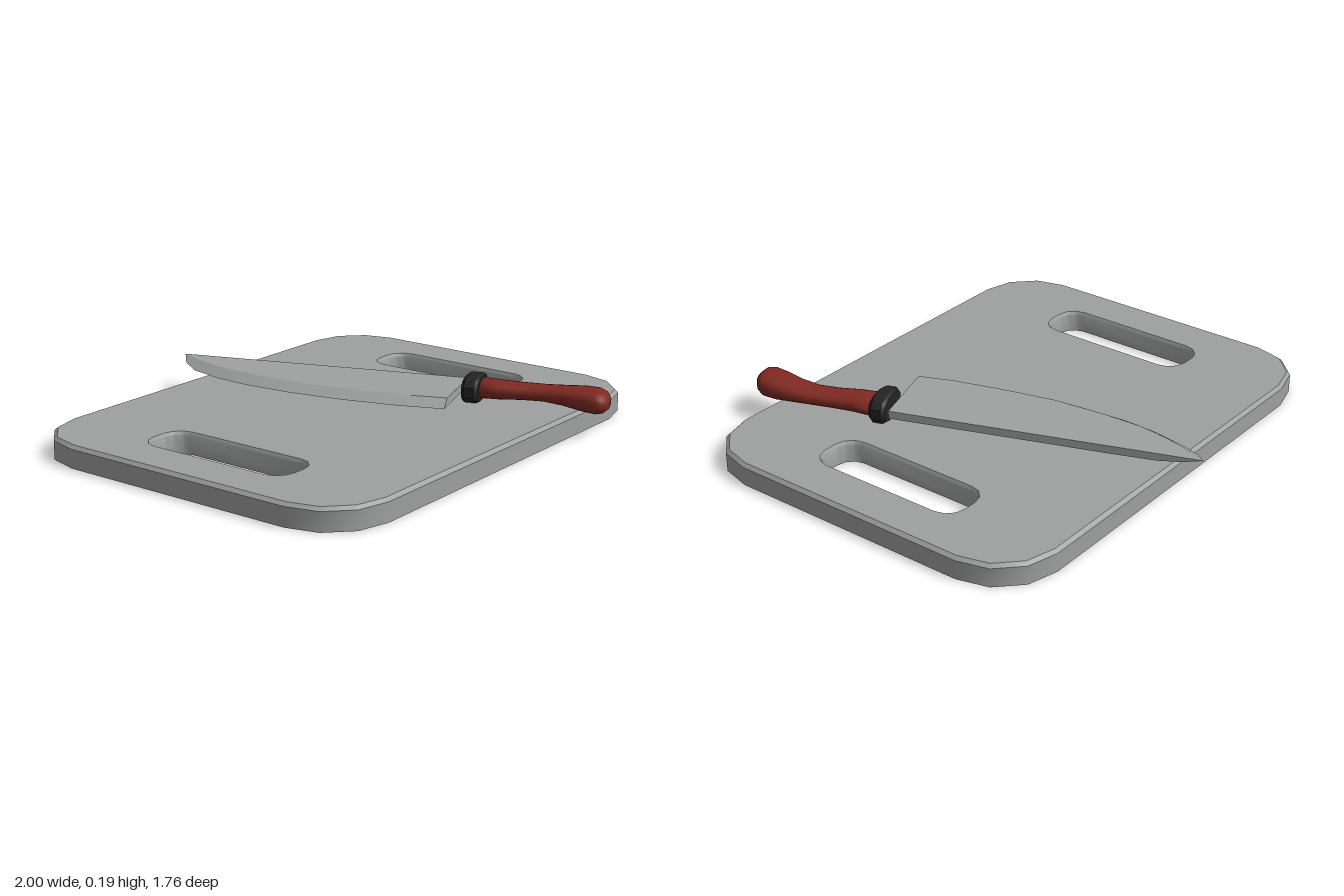
import * as THREE from 'three';
import { toCreasedNormals } from 'three/addons/utils/BufferGeometryUtils.js';

// Skin closed rings of [x, y, z] points, with optional end caps.
function loft(rings, caps = true) {
  const n = rings[0].length, last = (rings.length - 1) * n, index = [];
  for (let i = 0; i < rings.length - 1; i++) {
    for (let j = 0; j < n; j++) {
      const a = i * n + j, b = i * n + (j + 1) % n;
      index.push(a, b, b + n, a, b + n, a + n);
    }
  }
  if (caps) {
    for (let j = 1; j < n - 1; j++) {
      index.push(0, j + 1, j, last, last + j, last + j + 1);
    }
  }
  const g = new THREE.BufferGeometry();
  g.setAttribute('position', new THREE.Float32BufferAttribute(rings.flat(2), 3));
  g.setIndex(index);
  g.computeVertexNormals();
  return g;
}

// Rectangle with corners of radius r in three segments, as [x, z] points.
function roundedRect(cx, hx, hz, r) {
  const pts = [];
  [[1, 1], [-1, 1], [-1, -1], [1, -1]].forEach(([sx, sz], q) => {
    for (let k = 0; k <= 3; k++) {
      const a = (q + k / 3) * Math.PI / 2;
      pts.push([cx + sx * (hx - r) + r * Math.cos(a), sz * (hz - r) + r * Math.sin(a)]);
    }
  });
  return pts;
}

const atHeight = (pts, y) => pts.map(([x, z]) => [x, y, z]);

export function createModel() {
  const boardGrey = new THREE.MeshStandardMaterial({ color: 0x9fa1a0, side: THREE.DoubleSide });
  boardGrey.name = 'boardGrey';
  const steel = new THREE.MeshStandardMaterial({ color: 0xa0a2a1 });
  steel.name = 'steel';
  const collarBlack = new THREE.MeshStandardMaterial({ color: 0x242424 });
  collarBlack.name = 'collarBlack';
  const handleRed = new THREE.MeshStandardMaterial({ color: 0x7f2a22 });
  handleRed.name = 'handleRed';

  const model = new THREE.Group();
  model.name = 'cuttingBoardWithKnife';
  const board = new THREE.Group(), knife = new THREE.Group();
  board.name = 'cuttingBoard';
  knife.name = 'knife';
  model.add(board, knife);
  const add = (parent, name, geometry, material) => {
    const m = new THREE.Mesh(geometry, material);
    m.name = name;
    parent.add(m);
  };

  // Board: an open-bottomed shell with a chamfered rim and two grip slots
  const top = 0.088, shoulder = 0.075, bevel = 0.014, slotBevel = 0.008;
  const outer = roundedRect(0, 1, 0.755, 0.25);
  const inner = roundedRect(0, 1 - bevel, 0.755 - bevel, 0.25 - bevel);
  const toShape = (C, pts) => new C(pts.map(([x, z]) => new THREE.Vector2(x, -z)));
  const topShape = toShape(THREE.Shape, inner);
  const wall = (a, b) => toCreasedNormals(
    loft([atHeight(b, top), atHeight(a, shoulder), atHeight(a, 0)].reverse().map(r => r.slice().reverse()), false), 0.6);
  add(board, 'boardSide', wall(outer, inner), boardGrey);
  for (const side of [-1, 1]) {
    const slot = roundedRect(side * 0.71, 0.098, 0.33, 0.07);
    const lip = roundedRect(side * 0.71, 0.098 + slotBevel, 0.33 + slotBevel, 0.07 + slotBevel);
    topShape.holes.push(toShape(THREE.Path, lip));
    const g = wall(slot, lip);
    // turn the slot wall to face into the opening
    const p = g.attributes.position.array, nrm = g.attributes.normal.array;
    for (let i = 0; i < p.length; i += 9) {
      for (let k = 0; k < 3; k++) {
        [p[i + k], p[i + 3 + k]] = [p[i + 3 + k], p[i + k]];
        [nrm[i + k], nrm[i + 3 + k]] = [nrm[i + 3 + k], nrm[i + k]];
      }
    }
    for (let i = 0; i < nrm.length; i++) nrm[i] *= -1;
    add(board, side > 0 ? 'leftSlotWall' : 'rightSlotWall', g, boardGrey);
  }
  const topFace = new THREE.ShapeGeometry(topShape);
  topFace.rotateX(-Math.PI / 2);
  topFace.translate(0, top, 0);
  add(board, 'boardTop', topFace, boardGrey);

  // Blade, tip to heel: edge x, z, underside y, bevel x, z, position along the spine
  const tip = [0.037, -0.882], spineEnd = [0.455, 0.27], bladeTop = 0.154;
  const stations = [
    [0.037, -0.882, 0.1535, 0.037, -0.882, 0],
    [-0.016, -0.83, 0.135, 0.008, -0.8, 0.06],
    [-0.053, -0.75, 0.124, -0.02, -0.69, 0.14],
    [-0.08, -0.6, 0.122, -0.037, -0.556, 0.27],
    [-0.085, -0.45, 0.122, -0.03, -0.4, 0.4],
    [-0.064, -0.235, 0.122, -0.005, -0.18, 0.56],
    [-0.016, -0.01, 0.122, 0.048, 0.03, 0.72],
    [0.053, 0.214, 0.122, 0.11, 0.235, 0.88],
    [0.123, 0.38, 0.122, 0.165, 0.365, 1],
  ];
  const blade = loft(stations.map(([ex, ez, y, bx, bz, t]) => {
    const sx = tip[0] + (spineEnd[0] - tip[0]) * t, sz = tip[1] + (spineEnd[1] - tip[1]) * t;
    return [[sx, y, sz], [sx, bladeTop, sz], [bx, bladeTop, bz], [ex, y, ez]];
  }));
  add(knife, 'blade', toCreasedNormals(blade, 0.3), steel);

  // Oval ring across the knife; power below 1 squares it off
  const midY = 0.138;
  const oval = (cx, cz, hw, hh, sides, power, ux, uz) => Array.from({ length: sides }, (_, k) => {
    const a = (k + 0.5) / sides * Math.PI * 2, c = Math.cos(a), s = Math.sin(a);
    const w = hw * Math.sign(c) * Math.abs(c) ** power;
    return [cx + ux * w, midY + hh * Math.sign(s) * Math.abs(s) ** power, cz + uz * w];
  });

  // Collar between blade and handle
  const collar = [[-0.033, 0.86], [-0.02, 1], [0.02, 1], [0.033, 0.86]].map(([o, s]) =>
    oval(0.401 + 0.31 * o, 0.335 + 0.95 * o, 0.094 * s, 0.055 * s, 12, 0.7, 0.95, -0.31));
  add(knife, 'collar', toCreasedNormals(loft(collar), 0.5), collarBlack);

  // Handle: centre x, z, half width, half height
  const handle = [
    [0.415, 0.355, 0.067, 0.038], [0.44, 0.44, 0.059, 0.036],
    [0.475, 0.52, 0.055, 0.032], [0.505, 0.6, 0.056, 0.031],
    [0.522, 0.68, 0.063, 0.037], [0.53, 0.76, 0.075, 0.046],
    [0.533, 0.82, 0.078, 0.048], [0.532, 0.85, 0.066, 0.04],
    [0.535, 0.868, 0.036, 0.024], [0.536, 0.872, 0.005, 0.004],
  ].map(([x, z, w, h]) => oval(x, z, w, h, 20, 0.85, 0.96, -0.28));
  add(knife, 'handle', loft(handle), handleRed);

  return model;
}
